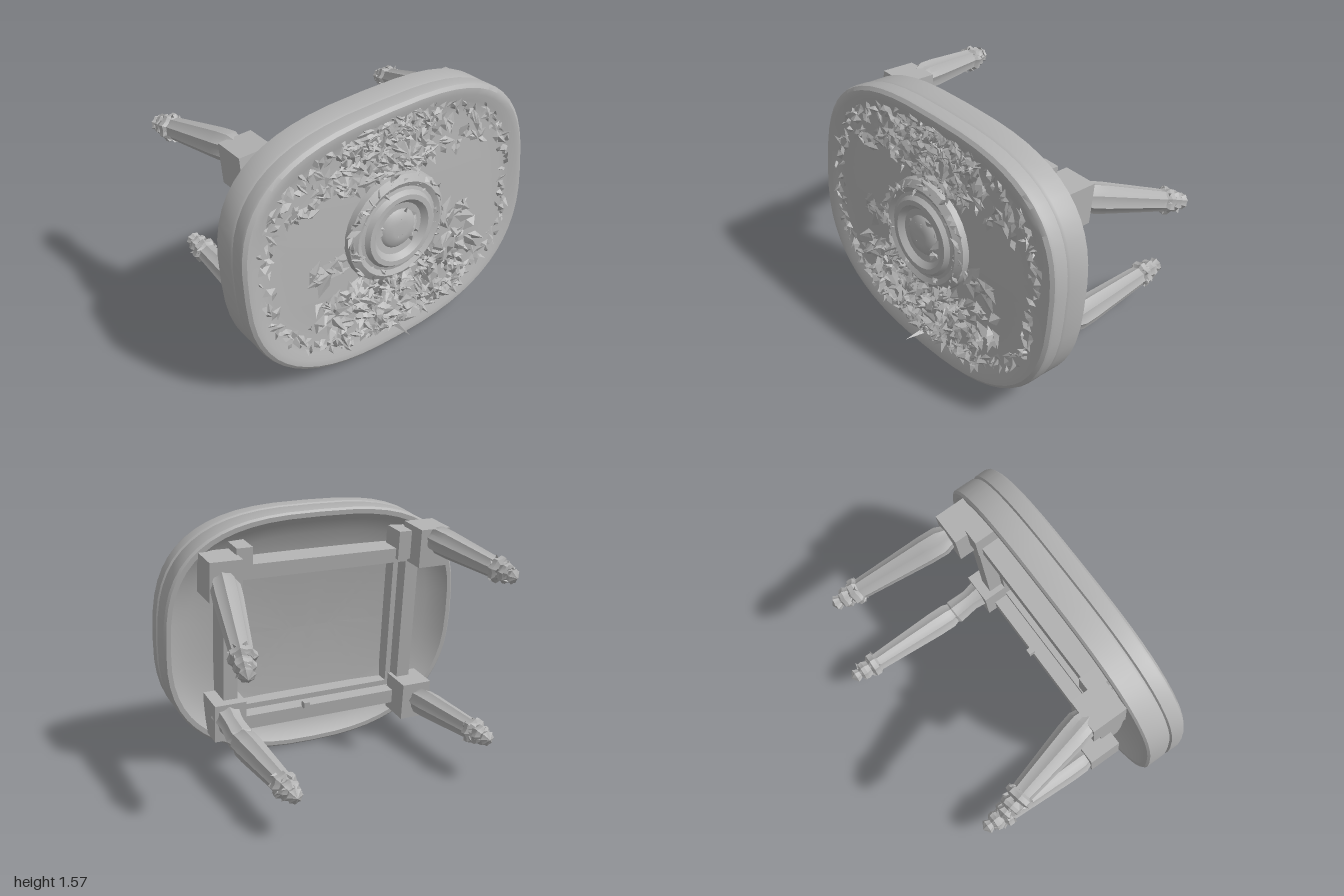
import * as THREE from 'three';
import { toCreasedNormals } from 'three/addons/utils/BufferGeometryUtils.js';

const stone = new THREE.MeshStandardMaterial({ color: 0xb2b2b2, side: THREE.DoubleSide });
stone.name = 'plain grey';

let seed = 7;
const rnd = () => (seed = (seed * 16807) % 2147483647) / 2147483647;
const spread = (a) => (rnd() * 2 - 1) * a;

function add(parent, name, geometry, crease = 0.6) {
  const mesh = new THREE.Mesh(toCreasedNormals(geometry, crease), stone);
  mesh.name = name;
  parent.add(mesh);
  return mesh;
}

function box(parent, name, size, pos) {
  const m = add(parent, name, new THREE.BoxGeometry(...size));
  m.position.set(...pos);
  return m;
}

// Rounded oval outline of the table top, squarer above, inset evenly from its edge
const outline = (angle, inset) => {
  const c = Math.cos(angle), s = Math.sin(angle), p = 2 / (s > 0 ? 2.9 : 2.5);
  return [Math.sign(c) * Math.abs(c) ** p * (0.98 - inset),
    Math.sign(s) * Math.abs(s) ** p * (0.78 - inset)];
};

// Skin over [inset, z] rings of the outline
function loft(rings, n = 56) {
  const pos = [], idx = [];
  rings.forEach(([inset, z]) => {
    for (let i = 0; i < n; i++) pos.push(...outline((i / n) * Math.PI * 2, inset), z);
  });
  for (let r = 0; r < rings.length - 1; r++) {
    for (let i = 0; i < n; i++) {
      const a = r * n + i, b = r * n + (i + 1) % n;
      idx.push(a, a + n, b, b, a + n, b + n);
    }
  }
  const g = new THREE.BufferGeometry();
  g.setAttribute('position', new THREE.Float32BufferAttribute(pos, 3));
  g.setIndex(idx);
  g.computeVertexNormals();
  return g;
}

// Jagged folded leaves; place() gives each one's x, y, z
function leaves(parent, name, count, size, place, rise = 0.035) {
  const pos = [];
  for (let i = 0; i < count; i++) {
    const [x, y, z] = place(i);
    const t = rnd() * Math.PI * 2, l = size * (0.6 + rnd() * 0.8), w = l * (0.3 + rnd() * 0.4);
    const c = Math.cos(t), s = Math.sin(t), tip = z + rnd() * rise;
    const a = [x - c * l, y - s * l, z], b = [x + c * l, y + s * l, tip];
    const m = [x + spread(0.01), y + spread(0.01), z + rise * (0.2 + rnd() * 0.6)];
    const left = [x - s * w, y + c * w, z], right = [x + s * w, y - c * w, z];
    pos.push(...a, ...m, ...left, ...m, ...b, ...left, ...a, ...right, ...m, ...m, ...right, ...b);
  }
  const g = new THREE.BufferGeometry();
  g.setAttribute('position', new THREE.Float32BufferAttribute(pos, 3));
  g.computeVertexNormals();
  add(parent, name, g, 0.1);
}

// Turned, slightly fluted shape between two points; profile is [radius, fraction]
function turned(parent, name, from, to, profile, flute = 0.08) {
  const a = new THREE.Vector3(...from), d = new THREE.Vector3(...to).sub(a), len = d.length();
  const g = new THREE.LatheGeometry(profile.map(([r, t]) => new THREE.Vector2(r, t * len)), 16);
  const p = g.attributes.position;
  for (let i = 0; i < p.count; i++) {
    const k = 1 + flute * Math.cos(8 * Math.atan2(p.getX(i), p.getZ(i)));
    p.setXYZ(i, p.getX(i) * k, p.getY(i), p.getZ(i) * k);
  }
  const m = add(parent, name, g, 0.5);
  m.position.copy(a);
  m.quaternion.setFromUnitVectors(new THREE.Vector3(0, 1, 0), d.normalize());
}

const LEG = [[0, 0], [0.06, 0], [0.08, 0.07], [0.08, 0.2], [0.06, 0.72], [0.058, 0.75], [0.075, 0.77],
  [0.075, 0.81], [0.045, 0.83], [0.06, 0.87], [0.055, 0.9], [0.03, 0.92], [0.045, 0.96], [0, 1]];

export function createModel() {
  const model = new THREE.Group();
  model.name = 'tippedTable';

  // Table top assembly leans back; local z = 0 is its front rim
  const top = new THREE.Group();
  top.name = 'tableTop';
  top.position.set(0, 0.8, 0.575);
  top.rotation.x = -0.11;
  model.add(top);

  // Slab with thin rim, coved field, shallow edge groove and hollow underside
  add(top, 'slab', loft([[0.78, -0.02], [0.3, -0.02], [0.17, -0.028], [0.1, -0.018], [0.06, 0],
    [0.025, 0], [0.005, -0.015], [0, -0.03], [0, -0.1], [0.012, -0.108], [0.002, -0.125], [0, -0.25],
    [0.012, -0.262], [0.04, -0.262], [0.08, -0.23], [0.16, -0.19], [0.32, -0.16], [0.78, -0.155]]));

  // Round medallion
  const rings = [[0.34, -0.03], [0.33, 0.015], [0.29, 0.04], [0.26, 0.025], [0.24, 0.03], [0.22, 0.055],
    [0.19, 0.055], [0.16, 0.025], [0.12, 0.02], [0.1, 0.04], [0.05, 0.05], [0, 0.045]];
  const medal = add(top, 'medallion',
    new THREE.LatheGeometry(rings.map(([r, z]) => new THREE.Vector2(r, z)), 28));
  medal.rotation.x = Math.PI / 2;
  medal.position.y = 0.035;

  // Carved foliage on the face
  const field = -0.02;
  leaves(top, 'crestCarving', 190, 0.045, () => [spread(0.2) + spread(0.18), 0.54 + spread(0.17), field]);
  leaves(top, 'upperGarland', 80, 0.045, () => {
    const x = spread(0.7);
    return [x, 0.6 - 0.5 * x * x + spread(0.06), field];
  });
  leaves(top, 'upperFringe', 45, 0.04, () => [spread(0.55), 0.39 + spread(0.04), field]);
  leaves(top, 'middleSwag', 190, 0.05, () => {
    const x = spread(0.4) + spread(0.28);
    return [x, -0.34 + 0.1 * x * x + spread(0.1), field];
  }, 0.055);
  leaves(top, 'lowerSwag', 130, 0.05, () => {
    const x = spread(0.5);
    return [x, -0.56 + 0.25 * x * x + spread(0.1), field];
  }, 0.05);
  leaves(top, 'borderCarving', 170, 0.035, (i) => {
    const [x, y] = outline((i / 170) * Math.PI * 2, 0.14 + spread(0.04));
    return [x, y, field];
  });
  leaves(top, 'medallionCarving', 90, 0.035, (i) => {
    const a = i * 2.4, r = i % 3 ? 0.3 + spread(0.04) : rnd() * 0.14;
    return [r * Math.cos(a), 0.035 + r * Math.sin(a), 0.02];
  });
  for (const s of [-1, 1]) {
    leaves(top, 'sideScroll', 14, 0.065, () => [s * (0.45 + spread(0.1)), -0.08 + spread(0.06), field]);
  }
  const thorn = add(top, 'thorn', new THREE.ConeGeometry(0.02, 0.12, 4));
  thorn.position.set(-0.01, -0.68, 0.05);
  thorn.rotation.x = Math.PI / 2;

  // Rails of the underframe
  for (const s of [-1, 1]) {
    box(top, 'sideRail', [0.09, 0.98, 0.2], [s * 0.6, -0.03, -0.24]);
    box(top, 'crossRail', [1.2, 0.09, 0.2], [0, -0.02 + s * 0.49, -0.24]);
    box(top, 'railLip', [0.04, 0.86, 0.1], [s * 0.54, -0.03, -0.2]);
    box(top, 'railLip', [1.08, 0.04, 0.1], [0, -0.02 + s * 0.43, -0.2]);
    box(top, 'cornerBlock', [0.1, 0.18, 0.16], [s * 0.53, 0.54, -0.29]);
  }
  box(top, 'peg', [0.04, 0.04, 0.04], [0.1, -0.45, -0.35]);

  // Leg blocks and the four splayed legs
  const legs = [
    { block: [0.67, 1.23, 0.18], from: [0.68, 1.22, 0.09], to: [0.84, 0.9, -0.66] },
    { block: [-0.665, 1.3, 0.14], from: [-0.67, 1.35, 0.06], to: [-0.82, 1.22, -0.6] },
    { block: [0.62, 0.32, 0.33], from: [0.63, 0.27, 0.04], to: [0.63, 0.25, -0.77], knee: [0.63, 0.34, 0.28] },
    { block: [-0.63, 0.27, 0.26], from: [-0.65, 0.26, 0.17], to: [-0.67, 0.27, -0.63] },
  ];
  for (const { block, from, to, knee } of legs) {
    box(model, 'legBlock', [0.2, 0.24, 0.21], block).rotation.x = -0.11;
    turned(model, 'leg', from, to, LEG);
    if (knee) turned(model, 'bentLegTop', knee, from, [[0, 0], [0.09, 0], [0.07, 0.5], [0.08, 1], [0.05, 1.2], [0, 1.25]]);
    // Ragged leaf cuffs around the foot
    const cuff = new THREE.Group();
    cuff.name = 'footCuff';
    const a = new THREE.Vector3(...from), b = new THREE.Vector3(...to);
    cuff.position.copy(a).lerp(b, 0.79);
    cuff.quaternion.setFromUnitVectors(new THREE.Vector3(0, 0, 1), b.sub(a).normalize());
    model.add(cuff);
    leaves(cuff, 'cuffLeaves', 18, 0.025, (i) => {
      const r = 0.065 - (i % 3) * 0.012;
      return [r * Math.cos(i * 1.3), r * Math.sin(i * 1.3), (i % 3) * 0.055 - 0.03];
    });
  }
  return model;
}
